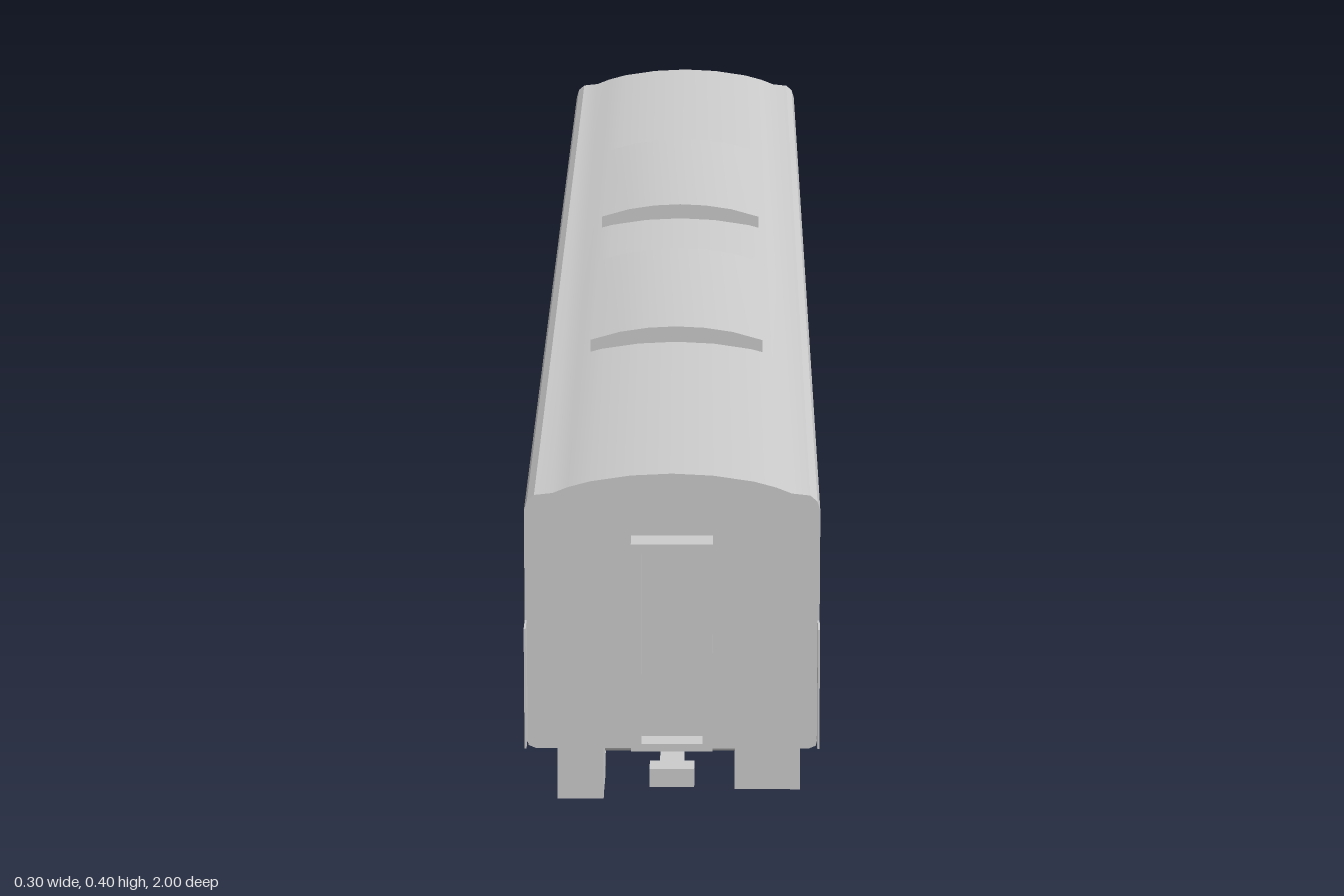
import * as THREE from 'three';
import { toCreasedNormals } from 'three/addons/utils/BufferGeometryUtils.js';

const grey = new THREE.MeshStandardMaterial({ color: 0xcccccc });
const thin = new THREE.MeshStandardMaterial({ color: 0xcccccc, side: THREE.DoubleSide });

function add(parent, name, geometry, x = 0, y = 0, z = 0, material = grey) {
  const mesh = new THREE.Mesh(geometry, material);
  mesh.name = name;
  mesh.position.set(x, y, z);
  parent.add(mesh);
  return mesh;
}

// Box given by its min and max along each axis
function block(parent, name, [x0, x1], [y0, y1], [z0, z1]) {
  const geometry = new THREE.BoxGeometry(x1 - x0, y1 - y0, z1 - z0);
  return add(parent, name, geometry, (x0 + x1) / 2, (y0 + y1) / 2, (z0 + z1) / 2);
}

function polygon(points) {
  return new THREE.Shape(points.map(([x, y]) => new THREE.Vector2(x, y)));
}

const rect = (a0, a1, b0, b1) => polygon([[a0, b0], [a1, b0], [a1, b1], [a0, b1]]);

// Closed section mirrored from its +x half
function mirrored(half) {
  return polygon([...half, ...half.filter(([x]) => x > 0).reverse().map(([x, y]) => [-x, y])]);
}

function extrude(shape, depth) {
  return new THREE.ExtrudeGeometry(shape, { depth, bevelEnabled: false, curveSegments: 8 });
}

// Panel drawn in (z, y), with its outer face at x and its thickness running to -x
function sidePanel(parent, name, shape, x, depth) {
  add(parent, name, extrude(shape, depth), x).rotation.y = -Math.PI / 2;
}

function lengthwise(parent, name, shape, z0, z1) {
  add(parent, name, toCreasedNormals(extrude(shape, z1 - z0), 0.5), 0, 0, z0);
}

function createBody() {
  const body = new THREE.Group();
  body.name = 'body';
  const half = [
    [0, 0.388], [0.04, 0.386], [0.08, 0.38], [0.102, 0.374], [0.117, 0.368], [0.135, 0.366],
    [0.142, 0.36], [0.145, 0.35], [0.141, 0.35], [0.141, 0.12], [0.145, 0.12], [0.142, 0.108], [0.135, 0.105],
  ];
  lengthwise(body, 'bodyShell', mirrored(half), -0.97, 0.97);

  const doorCentres = [-0.6, 0, 0.6];
  const windows = [[0.155, 0.455], [-0.455, -0.155], [0.75, 0.93], [-0.93, -0.75]];
  for (const side of [-1, 1]) {
    const outer = (depth, inset) => (side > 0 ? 0.145 - inset : -0.145 + inset + depth);
    const wall = rect(-0.97, 0.97, 0.12, 0.35);
    wall.holes = [
      ...windows.map(([a, b]) => rect(a, b, 0.205, 0.32)),
      ...doorCentres.map((z) => rect(z - 0.07, z + 0.07, 0.126, 0.326)),
    ];
    sidePanel(body, 'sideWall', wall, outer(0.004, 0), 0.004);

    for (const z of doorCentres) {
      for (const s of [-1, 1]) {
        const c = z + s * 0.035;
        const leaf = rect(c - 0.034, c + 0.034, 0.126, 0.326);
        leaf.holes = [rect(c - 0.022, c + 0.022, 0.2, 0.312)];
        sidePanel(body, 'doorLeaf', leaf, outer(0.002, 0.002), 0.002);
      }
      block(body, 'doorStep', [side * 0.1465 - 0.0015, side * 0.1465 + 0.0015], [0.122, 0.126], [z - 0.07, z + 0.07]);
    }
    // Thin plates standing out past each corner
    for (const end of [-1, 1]) {
      block(body, 'cornerPlate', [side * 0.144 - 0.001, side * 0.144 + 0.001], [0.115, 0.238],
        end > 0 ? [0.965, 1] : [-1, -0.965]);
    }
  }
  return body;
}

function createRoofUnit(centre) {
  const unit = mirrored([
    [0, 0.405], [0.03, 0.4035], [0.06, 0.399], [0.092, 0.39], [0.092, 0.372],
  ]);
  const group = new THREE.Group();
  group.name = 'roofUnit';
  lengthwise(group, 'roofUnitHousing', unit, centre - 0.177, centre + 0.177);
  return group;
}

// Gangway frame and coupler for the +z end
function createEnd() {
  const end = new THREE.Group();
  end.name = 'carEnd';
  const frame = rect(-0.04, 0.04, 0.112, 0.325);
  frame.holes = [rect(-0.03, 0.03, 0.12, 0.315)];
  add(end, 'gangwayFrame', extrude(frame, 0.03), 0, 0, 0.97);
  block(end, 'gangwayDoor', [-0.03, 0.03], [0.12, 0.315], [0.968, 0.976]);
  block(end, 'couplerBar', [-0.012, 0.012], [0.078, 0.092], [0.9, 0.985]);
  block(end, 'couplerHead', [-0.022, 0.022], [0.075, 0.094], [0.975, 1]);
  block(end, 'couplerMount', [-0.06, 0.06], [0.088, 0.106], [0.88, 0.92]);
  block(end, 'deepEndBox', [-0.115, -0.069], [0.037, 0.107], [0.865, 0.928]);
  block(end, 'shallowEndBox', [0.062, 0.127], [0.057, 0.107], [0.9, 0.955]);
  return end;
}

function createBogie() {
  const bogie = new THREE.Group();
  bogie.name = 'bogie';
  const wheelProfile = [
    [0.012, -0.006], [0.034, -0.004], [0.034, -0.007], [0.045, -0.007],
    [0.044, -0.003], [0.041, -0.001], [0.039, 0.007], [0.033, 0.007], [0.032, 0.003], [0.012, 0.006],
  ].map(([r, y]) => new THREE.Vector2(r, y));

  for (const z of [-0.11, 0.11]) {
    add(bogie, 'axle', new THREE.CylinderGeometry(0.01, 0.01, 0.22, 16), 0, 0.046, z).rotation.z = Math.PI / 2;
    for (const side of [-1, 1]) {
      const geometry = toCreasedNormals(new THREE.LatheGeometry(wheelProfile, 28), 0.5);
      add(bogie, 'wheel', geometry, side * 0.078, 0.046, z, thin).rotation.z = -side * Math.PI / 2;
    }
  }
  // Dipped side frame drawn in (z, y)
  const frame = mirrored([
    [0, 0.071], [0.035, 0.071], [0.06, 0.084], [0.13, 0.084], [0.135, 0.074],
    [0.07, 0.072], [0.045, 0.054], [0, 0.054],
  ]);
  for (const side of [-1, 1]) {
    const x = side * 0.105;
    sidePanel(bogie, 'sideFrame', frame, x + 0.006, 0.012);
    for (const z of [-0.11, 0.11]) {
      block(bogie, 'axleBox', [x - 0.009, x + 0.009], [0.032, 0.06], [z - 0.016, z + 0.016]);
      block(bogie, 'axleBoxFoot', [x - 0.005, x + 0.005], [0.026, 0.032], [z - 0.008, z + 0.008]);
      for (const dz of [-0.022, 0.022]) {
        add(bogie, 'axleSpring', new THREE.CylinderGeometry(0.008, 0.008, 0.03, 12), x, 0.062, z + dz);
      }
    }
    add(bogie, 'airSpring', new THREE.CylinderGeometry(0.022, 0.026, 0.025, 20), x, 0.083, 0);
    block(bogie, 'springSeat', [x - 0.024, x + 0.024], [0.088, 0.106], [-0.05, 0.05]);
    // Hanger leaning outward toward its foot
    const s = side;
    const hanger = polygon([[s * 0.124, 0.105], [s * 0.137, 0.105], [s * 0.142, 0.052], [s * 0.125, 0.052]]);
    add(bogie, 'sideHanger', extrude(hanger, 0.03), 0, 0, -0.015);
  }
  block(bogie, 'bolster', [-0.1, 0.1], [0.088, 0.106], [-0.035, 0.035]);
  block(bogie, 'crossBeam', [-0.1, 0.1], [0.054, 0.07], [-0.02, 0.02]);
  return bogie;
}

function createUnderfloor() {
  const group = new THREE.Group();
  group.name = 'underfloorEquipment';
  const top = [0.037, 0.107];
  block(group, 'equipmentBox', [-0.125, -0.06], top, [0.37, 0.48]);
  block(group, 'longEquipmentBox', [-0.125, -0.06], top, [0.09, 0.295]);
  block(group, 'equipmentBox', [-0.125, -0.06], top, [-0.445, -0.36]);
  block(group, 'equipmentBox', [0.075, 0.13], top, [0.09, 0.165]);
  for (const z of [0.378, -0.412]) {
    add(group, 'airTank', new THREE.CylinderGeometry(0.021, 0.021, 0.11, 24), 0.114, 0.084, z).rotation.x = Math.PI / 2;
    for (const dz of [-0.03, 0.03]) {
      block(group, 'tankStrap', [0.108, 0.12], [0.09, 0.107], [z + dz - 0.004, z + dz + 0.004]);
    }
  }
  return group;
}

export function createModel() {
  const car = new THREE.Group();
  car.name = 'railCar';
  car.add(createBody(), createRoofUnit(0.286), createRoofUnit(-0.286), createUnderfloor());
  for (const s of [1, -1]) {
    const end = createEnd();
    end.rotation.y = s > 0 ? 0 : Math.PI;
    const bogie = createBogie();
    bogie.position.z = s * 0.667;
    car.add(end, bogie);
  }
  return car;
}
